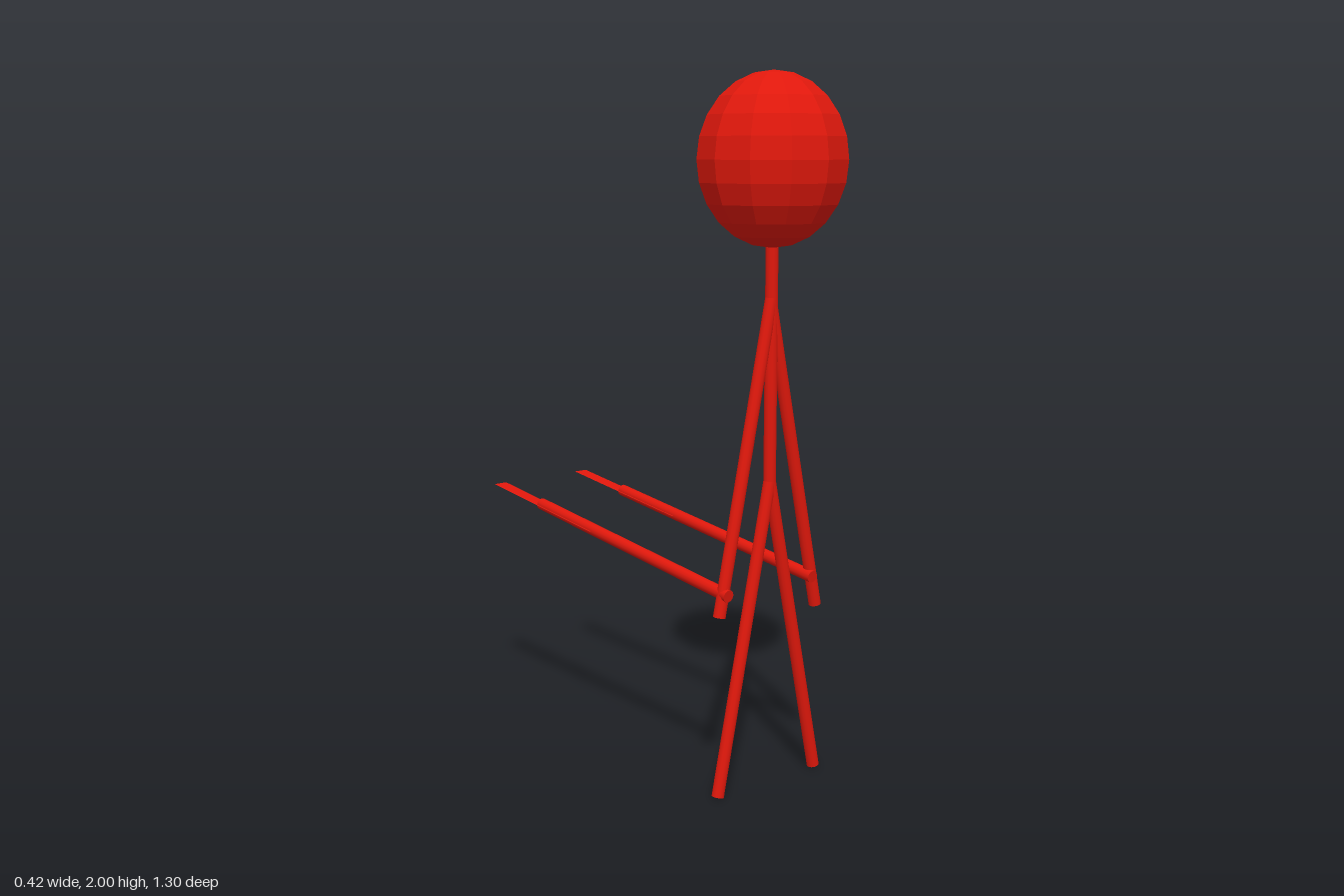
import * as THREE from 'three';

const Z = 0.435; // depth of the body plane
const R = 0.018; // limb radius

export function createModel() {
  const model = new THREE.Group();
  const red = new THREE.MeshStandardMaterial({ color: 0xe0180c, flatShading: true });
  const redThin = new THREE.MeshStandardMaterial({ color: 0xe0180c, side: THREE.DoubleSide });
  const redSmooth = new THREE.MeshStandardMaterial({ color: 0xe0180c });
  const up = new THREE.Vector3(0, 1, 0);

  // Round stick between two points
  function stick(name, from, to, radius = R) {
    const a = new THREE.Vector3(...from);
    const b = new THREE.Vector3(...to);
    const dir = b.clone().sub(a);
    const mesh = new THREE.Mesh(new THREE.CylinderGeometry(radius, radius, dir.length(), 12), redSmooth);
    mesh.position.copy(a).add(b).multiplyScalar(0.5);
    mesh.quaternion.setFromUnitVectors(up, dir.normalize());
    mesh.name = name;
    model.add(mesh);
  }

  // Faceted, slightly tall head
  const head = new THREE.Mesh(new THREE.SphereGeometry(1, 12, 12), red);
  head.scale.set(0.21, 0.237, 0.21);
  head.position.set(0, 1.763, Z);
  head.name = 'head';
  model.add(head);

  stick('torso', [0, 1.56, Z], [0, 0.88, Z]);

  // Arms: the left hand hangs slightly lower
  stick('leftArm', [0, 1.365, Z], [0.185, 0.493, Z]);
  stick('rightArm', [0, 1.39, Z], [-0.185, 0.522, Z]);

  for (const [side, s, x] of [['left', 1, 0.152], ['right', -1, -0.171]]) {
    stick(side + 'Leg', [0, 0.88, Z], [s * 0.187, 0.004, Z]);

    // Pole held in the hand, pointing backwards and slightly up
    stick(side + 'Pole', [x, 0.584, 0.457], [x, 0.694, -0.42]);

    // Paper-thin blade running out of the pole's far end
    const blade = new THREE.Mesh(new THREE.PlaneGeometry(0.045, 0.514), redThin);
    blade.position.set(x, 0.691, -0.395);
    blade.rotation.x = -Math.PI / 2 + Math.atan2(0.11, 0.877);
    blade.name = side + 'Blade';
    model.add(blade);
  }

  return model;
}
